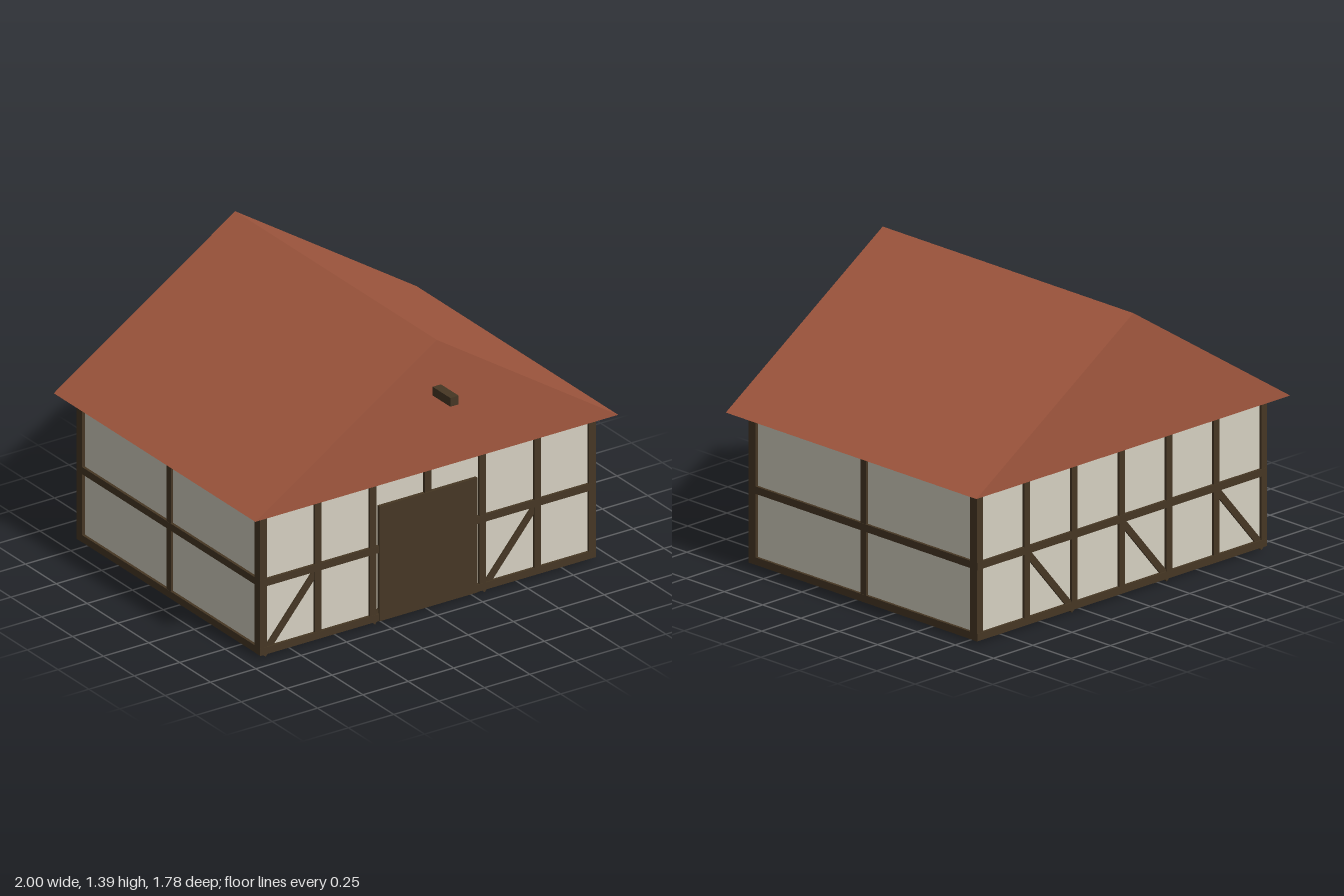
import * as THREE from 'three';

export function createModel() {
  const model = new THREE.Group();
  const material = (name, color) => {
    const m = new THREE.MeshStandardMaterial({ color });
    m.name = name;
    return m;
  };
  const plaster = material('plaster', 0xd5d0c1);
  const timber = material('dark timber', 0x463724);
  const tile = material('roof tile', 0xa2583f);

  const CZ = -0.07;                   // centre of the house in z
  const HX = 0.91, HZ = 0.732;        // half sizes of the plaster walls
  const Y0 = 0.015, Y1 = 0.742;       // foot and eaves
  const W = 0.036, D = 0.03;          // timber width and depth
  const rails = [Y0 + W / 2, 0.377, Y1 - W / 2];

  const box = (name, mat, w, h, d, x, y, z, parent = model) => {
    const mesh = new THREE.Mesh(new THREE.BoxGeometry(w, h, d), mat);
    mesh.name = name;
    mesh.position.set(x, y, z);
    parent.add(mesh);
    return mesh;
  };

  // Plaster body
  box('walls', plaster, 2 * HX, Y1 - Y0, 2 * HZ, 0, (Y0 + Y1) / 2, CZ);

  // Front and back framing: posts, rails and diagonal braces
  for (const side of [1, -1]) {
    const frame = new THREE.Group();
    frame.name = side > 0 ? 'frontFrame' : 'backFrame';
    frame.position.z = CZ + side * HZ;
    model.add(frame);
    for (let i = -3; i <= 3; i++) {
      box('post', timber, W, Y1 - Y0, D - 0.004, i * 0.302, (Y0 + Y1) / 2, 0, frame);
    }
    for (const y of rails) box('rail', timber, 2 * HX + 0.028, W, D - 0.002, 0, y, 0, frame);
    for (const x of [-0.905, -0.302, 0.302]) {
      const dx = 0.3, dy = 0.355;
      const brace = box('brace', timber, Math.hypot(dx, dy), W - 0.002, 0.018,
        x + dx / 2, 0.0115 + dy / 2, 0, frame);
      brace.rotation.z = Math.atan2(dy, dx);
    }
  }

  // Side framing
  for (const side of [1, -1]) {
    const frame = new THREE.Group();
    frame.name = side > 0 ? 'leftFrame' : 'rightFrame';
    frame.position.set(side * HX, 0, CZ);
    model.add(frame);
    box('post', timber, D - 0.004, Y1 - Y0, W, 0, (Y0 + Y1) / 2, 0, frame);
    for (const y of rails) box('rail', timber, D - 0.002, W, 2 * HZ, 0, y, 0, frame);
  }

  // Corner posts, closing the frames
  for (const sx of [1, -1]) for (const sz of [1, -1]) {
    box('cornerPost', timber, 0.038, Y1 - Y0, 0.046, sx * 0.906, (Y0 + Y1) / 2, CZ + sz * 0.722);
  }

  // Barn door, with the leaves meeting in the middle
  for (const side of [1, -1]) {
    box('doorLeaf', timber, 0.27, 0.58, 0.026, side * 0.135, Y0 + 0.29, 0.667);
  }

  // Solid gable roof
  const gable = new THREE.Shape([
    new THREE.Vector2(-1, Y1), new THREE.Vector2(1, Y1), new THREE.Vector2(0, 1.392),
  ]);
  const roof = new THREE.Mesh(
    new THREE.ExtrudeGeometry(gable, { depth: 1.634, bevelEnabled: false }), tile);
  roof.name = 'roof';
  roof.position.z = CZ - 0.818;
  model.add(roof);

  // Hoist beam in the front gable
  box('hoistBeam', timber, 0.046, 0.044, 0.25, 0, 1.139, 0.765);

  return model;
}
